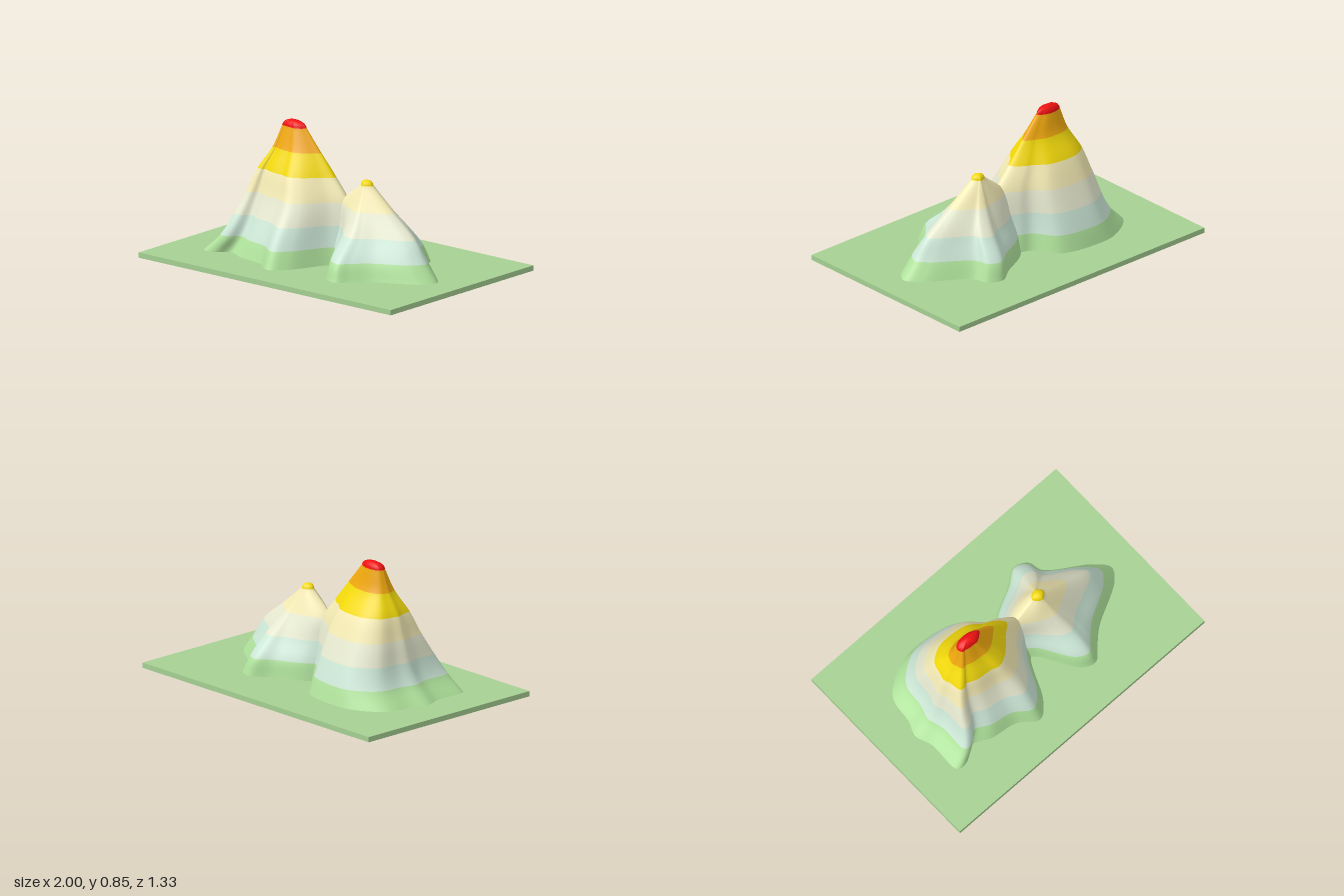
import * as THREE from 'three';

const GROUND = 0.033;
const AROUND = 160;
const STEPS = 7; // rings per colour band

// Elevation bands: top height of each, name and colour
const BANDS = [
  [0.137, 'footBand', 0xb0e39c],
  [0.265, 'lowerSlopeBand', 0xcce7d6],
  [0.4, 'middleSlopeBand', 0xe6e9cf],
  [0.54, 'upperSlopeBand', 0xf3eab4],
  [0.672, 'yellowBand', 0xf2d90c],
  [0.806, 'orangeBand', 0xf0a80e],
  [0.85, 'summitCap', 0xee1010],
];

// Each peak: footprint (x, z), and reach of the contour per height: y, left x, right x, back z, front z
const mainPeak = {
  name: 'mainPeak', cx: -0.33, dome: 0.806, top: 0.848,
  outline: [
    [-0.75, -0.07], [-0.72, -0.24], [-0.56, -0.36], [-0.42, -0.39], [-0.13, -0.34], [-0.02, -0.19],
    [0.06, -0.15], [0.2, 0], [0.06, 0.14], [-0.06, 0.38], [-0.155, 0.46], [-0.28, 0.38],
    [-0.45, 0.35], [-0.58, 0.3], [-0.66, 0.36], [-0.74, 0.36], [-0.75, 0.14], [-0.785, 0.03],
  ],
  levels: [
    [GROUND, -0.785, 0.2, -0.39, 0.46],
    [0.137, -0.68, 0.17, -0.355, 0.41],
    [0.4, -0.585, 0.1, -0.24, 0.245],
    [0.54, -0.54, -0.01, -0.17, 0.18],
    [0.672, -0.465, -0.12, -0.08, 0.1],
    [0.806, -0.415, -0.235, -0.04, 0.045],
  ],
};

const smallPeak = {
  name: 'smallPeak', cx: 0.245, dome: 0.54, top: 0.572,
  outline: [
    [-0.05, 0], [0.06, -0.18], [0.27, -0.3], [0.38, -0.37], [0.47, -0.33], [0.5, -0.24], [0.75, -0.06],
    [0.82, 0.03], [0.77, 0.11], [0.51, 0.26], [0.41, 0.35], [0.34, 0.415], [0.25, 0.38], [0.1, 0.15],
  ],
  levels: [
    [GROUND, -0.05, 0.82, -0.37, 0.415],
    [0.137, -0.03, 0.735, -0.335, 0.37],
    [0.265, 0, 0.64, -0.23, 0.23],
    [0.4, 0.04, 0.465, -0.125, 0.125],
    [0.54, 0.2, 0.29, -0.04, 0.04],
  ],
};

// Contour rings from the ground to the rounded summit, STEPS per band
function contourRings({ cx, outline, levels, dome, top }) {
  const reach = new THREE.CubicInterpolant(
    levels.map((level) => level[0]),
    levels.flatMap(([, l, r, b, f]) => [cx - l, r - cx, -b, f]), 4);

  // Footprint scaled to a reach of 1 on every side
  const [, left, right, back, front] = levels[0];
  const path = new THREE.CatmullRomCurve3(outline.map(([x, z]) => new THREE.Vector3(x, 0, z)), true);
  const unit = path.getSpacedPoints(AROUND).slice(0, AROUND).map(({ x, z }) => new THREE.Vector2(
    (x - cx) / Math.abs((x < cx ? left : right) - cx),
    z / Math.abs(z < 0 ? back : front)));

  // The footprint softens to an oval towards the summit
  const ringAt = (y, height, shrink) => {
    const [l, r, b, f] = reach.evaluate(y);
    const round = 0.6 * THREE.MathUtils.smoothstep(y, 0.2, dome);
    return unit.map((u) => {
      const q = u.clone().lerp(u.clone().normalize(), round).multiplyScalar(shrink);
      return [cx + q.x * (q.x < 0 ? l : r), height, q.y * (q.y < 0 ? b : f)];
    });
  };

  const rings = [ringAt(GROUND, GROUND, 1)];
  let from = GROUND;
  for (const [to] of BANDS.filter((band) => band[0] <= dome)) {
    for (let i = 1; i <= STEPS; i++) {
      const y = THREE.MathUtils.lerp(from, to, i / STEPS);
      rings.push(ringAt(y, y, 1));
    }
    from = to;
  }
  for (let i = 1; i <= STEPS; i++) {
    const a = (i / STEPS) * Math.PI / 2;
    rings.push(ringAt(dome, dome + (top - dome) * Math.sin(a), Math.max(Math.cos(a), 0.001)));
  }
  return rings;
}

// Triangles joining successive rings
function ringIndex(count) {
  const index = [];
  for (let r = 0; r < count - 1; r++) {
    for (let j = 0; j < AROUND; j++) {
      const a = r * AROUND + j;
      const b = r * AROUND + ((j + 1) % AROUND);
      index.push(a, a + AROUND, b, b, a + AROUND, b + AROUND);
    }
  }
  return index;
}

function buildPeak(peak) {
  const group = new THREE.Group();
  group.name = peak.name;
  const rings = contourRings(peak);
  const whole = new THREE.BufferGeometry();
  whole.setAttribute('position', new THREE.Float32BufferAttribute(rings.flat(2), 3));
  whole.setIndex(ringIndex(rings.length));
  whole.computeVertexNormals();

  // Cut into colour bands, keeping the normals continuous across them
  const bandCount = (rings.length - 1) / STEPS;
  BANDS.slice(0, bandCount).forEach(([, name, color], i) => {
    const start = i * STEPS * AROUND * 3;
    const end = start + (STEPS + 1) * AROUND * 3;
    const geometry = new THREE.BufferGeometry();
    for (const key of ['position', 'normal']) {
      const part = whole.attributes[key].array.slice(start, end);
      geometry.setAttribute(key, new THREE.BufferAttribute(part, 3));
    }
    geometry.setIndex(ringIndex(STEPS + 1));
    const mesh = new THREE.Mesh(geometry, new THREE.MeshStandardMaterial({ color }));
    mesh.name = name;
    group.add(mesh);
  });
  return group;
}

export function createModel() {
  const model = new THREE.Group();
  model.name = 'mountainRelief';

  // Base plate
  const plate = new THREE.Mesh(
    new THREE.BoxGeometry(2, GROUND, 1.325),
    new THREE.MeshStandardMaterial({ color: 0xa6d193 }));
  plate.name = 'basePlate';
  plate.position.y = GROUND / 2;
  model.add(plate);

  // Two peaks that merge at the saddle
  model.add(buildPeak(mainPeak), buildPeak(smallPeak));
  return model;
}
